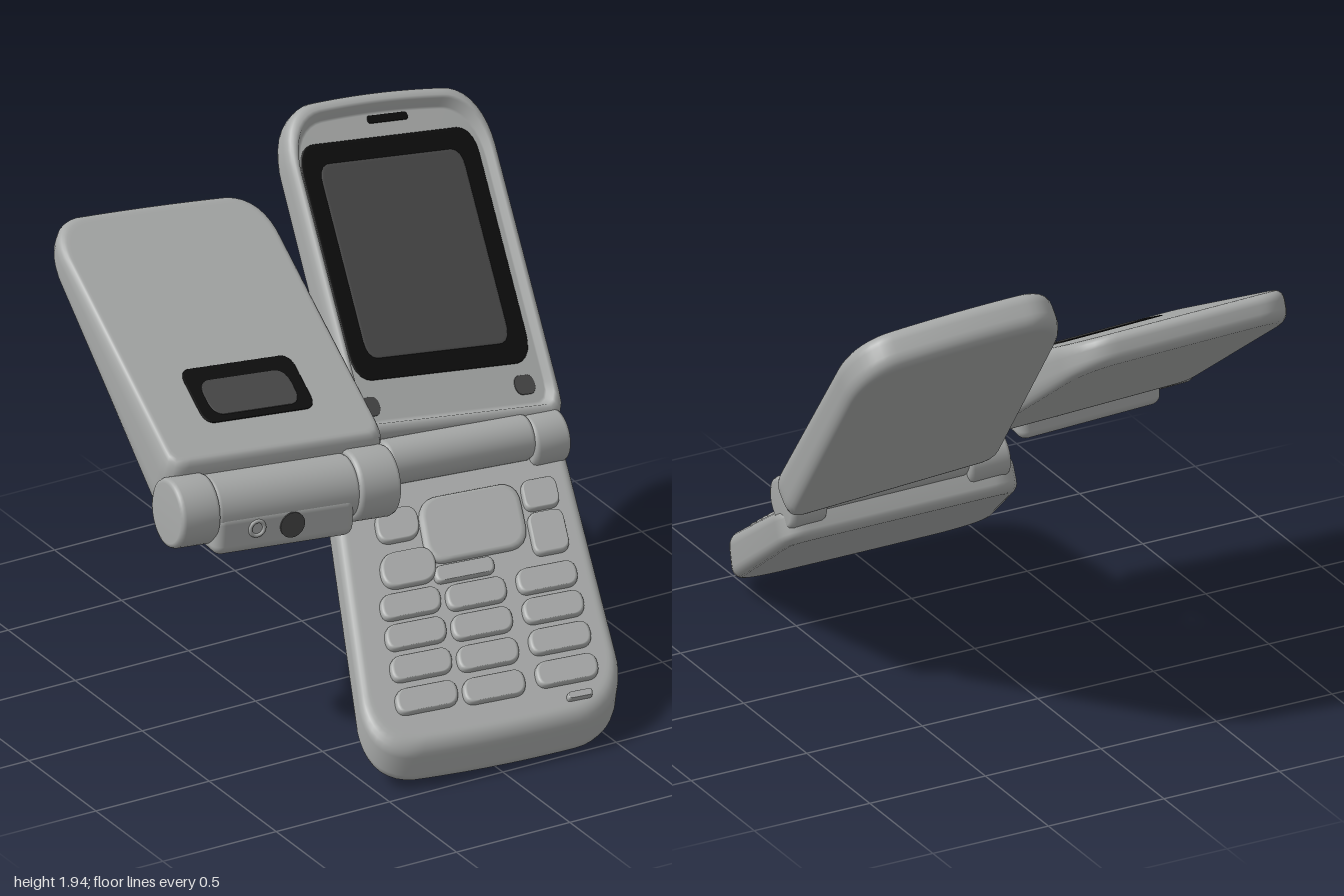
import * as THREE from 'three';
import { RoundedBoxGeometry } from 'three/addons/geometries/RoundedBoxGeometry.js';

const V = (x, y, z) => new THREE.Vector3(x, y, z);
const mat = (name, color) => Object.assign(new THREE.MeshStandardMaterial({ color }), { name });

// A panel is four face corners plus depth vectors at its far and near ends.
// (s, t) run -1..1 across the face, w runs 0..1 through the thickness.
function panel(tl, tr, br, bl, depthFar, depthNear) {
  return (s, t, w) => {
    const a = (1 - s) / 2, b = (1 + s) / 2, f = (1 + t) / 2, n = (1 - t) / 2;
    return V(0, 0, 0)
      .addScaledVector(tl, a * f).addScaledVector(tr, b * f)
      .addScaledVector(br, b * n).addScaledVector(bl, a * n)
      .addScaledVector(depthFar, w * f).addScaledVector(depthNear, w * n);
  };
}

// Rounded rectangle outline, counter-clockwise, with separate far and near radii
function outline(hw, hh, rFar, rNear, count) {
  const p = new THREE.Shape();
  p.moveTo(-hw + rNear, -hh);
  p.lineTo(hw - rNear, -hh);
  p.quadraticCurveTo(hw - rNear * 0.08, -hh + rNear * 0.08, hw, -hh + rNear);
  p.lineTo(hw, hh - rFar);
  p.quadraticCurveTo(hw - rFar * 0.08, hh - rFar * 0.08, hw - rFar, hh);
  p.lineTo(-hw + rFar, hh);
  p.quadraticCurveTo(-hw + rFar * 0.08, hh - rFar * 0.08, -hw, hh - rFar);
  p.lineTo(-hw, -hh + rNear);
  p.quadraticCurveTo(-hw + rNear * 0.08, -hh + rNear * 0.08, -hw + rNear, -hh);
  return p.getSpacedPoints(count).slice(0, count);
}

// Solid with rounded edges lying on a panel, made of stacked inset outlines;
// dish sinks the face behind a narrow rim
function slab(map, o) {
  const { s = 0, t = 0, hw = 1, hh = 1, rFar = 0.3, rNear = rFar, w0 = 0, w1 = 1,
    bevel = 0.07, bevelW = 0.3, bowFar = 0, bowNear = 0, dish = 0, count = 120, steps = 5 } = o;
  const pts = outline(hw, hh, rFar, rNear, count);
  const round = [[bevel + 0.02, 0]];
  for (let i = 0; i <= steps; i++) {
    const a = (i / steps) * Math.PI / 2;
    round.push([bevel * (1 - Math.sin(a)), bevelW * (1 - Math.cos(a))]);
  }
  const all = [[bevel + 0.06, dish], [bevel + 0.045, dish], ...round, ...round.map(([d, w]) => [d, 1 - w]).reverse()];
  const pos = [], idx = [];
  const put = (x, y, w) => pos.push(...map(s + x, t + y, w0 + (w1 - w0) * w).toArray());
  for (const [d, w] of all) {
    for (const p of pts) {
      const bow = (1 - p.x * p.x) * (p.y > 0 ? bowFar : bowNear) * p.y;
      put(p.x * (1 - d), (p.y + bow) * (1 - d), w);
    }
  }
  put(0, 0, dish);
  put(0, 0, 1);
  const top = all.length * count, last = top - count;
  for (let i = 0; i < count; i++) {
    const j = (i + 1) % count;
    for (let k = 0; k < all.length - 1; k++) {
      const u = k * count, l = u + count;
      idx.push(l + i, l + j, u + j, l + i, u + j, u + i);
    }
    idx.push(top, i, j, top + 1, last + j, last + i);
  }
  const g = new THREE.BufferGeometry();
  g.setAttribute('position', new THREE.Float32BufferAttribute(pos, 3));
  g.setIndex(idx);
  g.computeVertexNormals();
  return g;
}

function add(parent, name, geometry, material) {
  const m = new THREE.Mesh(geometry, material);
  m.name = name;
  parent.add(m);
  return m;
}

// Barrel with softened rims between two points
function barrel(parent, name, a, b, r, material) {
  const h = a.distanceTo(b), e = Math.min(0.02, h / 4);
  const profile = [[0, 0], [r - e, 0], [r - e * 0.3, e * 0.3], [r, e], [r, h - e],
    [r - e * 0.3, h - e * 0.3], [r - e, h], [0, h]].map(([x, y]) => new THREE.Vector2(x, y - h / 2));
  const m = add(parent, name, new THREE.LatheGeometry(profile, 40), material);
  m.position.copy(a).lerp(b, 0.5);
  m.quaternion.setFromUnitVectors(V(0, 1, 0), b.clone().sub(a).normalize());
}

export function createModel() {
  const root = new THREE.Group();
  root.name = 'flipPhones';
  const body = mat('body grey', 0xa6a8a7);
  const glass = mat('screen grey', 0x474747);
  const black = mat('bezel black', 0x0c0c0c);

  // Thin painted plate on a panel face
  const plate = (parent, map, name, material, s, t, hw, hh, r, lift = 0.025) =>
    add(parent, name, slab(map, { s, t, hw, hh, rFar: r, w0: -lift, w1: 0.015, bevel: 0.01, bevelW: 0.2, steps: 1 }), material);

  // ---- Open phone ----
  const open = new THREE.Group();
  open.name = 'openPhone';
  root.add(open);

  // Keypad half, running back under the hinge
  const onPlane = (x, z) => V(x, 0.785 - 0.616 * z, z);
  const base = panel(onPlane(-0.125, -0.08), onPlane(0.865, -0.03), onPlane(0.56, 1.01), onPlane(-0.565, 0.95),
    V(0, -0.13, -0.06), V(0, -0.18, -0.035));
  add(open, 'keypadBody', slab(base, { rFar: 0.16, rNear: 0.36, bowNear: 0.04, bevelW: 0.28 }), body);

  // Keys
  const pad = panel(onPlane(-0.15, 0), onPlane(0.84, 0.06), onPlane(0.54, 0.99), onPlane(-0.53, 0.93),
    V(0, -0.15, -0.09), V(0, -0.15, -0.09));
  const key = (name, s, t, hw, hh, r) =>
    add(open, name, slab(pad, { s, t, hw, hh, rFar: r, w0: -0.13, w1: 0.1, bevel: 0.1, bevelW: 0.4, count: 48, steps: 3 }), body);
  [0.48, 0.6, 0.725, 0.855].forEach((a) => {
    [-0.53, 0.01, 0.6].forEach((s, c) => key('numberKey', s, 1 - 2 * (a + (c === 1 ? 0.01 : 0)), 0.25, 0.1, 0.08));
  });
  key('navigationPad', 0.09, 0.57, 0.43, 0.26, 0.15);
  key('leftSoftKey', -0.53, 0.67, 0.18, 0.13, 0.1);
  key('callKey', -0.5, 0.32, 0.23, 0.14, 0.12);
  key('rightSoftKey', 0.69, 0.7, 0.15, 0.12, 0.07);
  key('endKey', 0.69, 0.39, 0.15, 0.17, 0.07);
  key('clearKey', -0.05, 0.22, 0.25, 0.065, 0.05);
  key('microphone', 0.66, -0.92, 0.1, 0.028, 0.02);

  // Hinge ears and bar
  barrel(open, 'hingeEar', V(-0.1, 0.825, -0.025), V(0.08, 0.817, -0.02), 0.1, body);
  barrel(open, 'hingeEar', V(0.68, 0.805, 0.005), V(0.835, 0.8, 0.01), 0.105, body);
  barrel(open, 'hingeBar', V(0.07, 0.855, -0.025), V(0.69, 0.828, 0.01), 0.09, body);

  // Screen half with a slightly sunken face
  const lid = panel(V(0.145, 1.954, -0.908), V(0.99, 1.874, -0.838), V(0.86, 0.91, 0.002), V(0.01, 0.995, -0.068),
    V(0, -0.11, -0.1), V(0, -0.11, -0.12));
  const sunk = 0.25;
  add(open, 'screenLid', slab(lid, { t: -0.02, hw: 1.03, hh: 1.04, rFar: 0.34, rNear: 0.12, bowFar: 0.04, bevel: 0.06, bevelW: 0.35, dish: sunk }), body);
  const face = (s, t, w) => lid(s, t, w + sunk);
  plate(open, face, 'screenBezel', black, -0.02, 0.05, 0.88, 0.74, 0.16);
  plate(open, face, 'screen', glass, -0.02, 0.05, 0.71, 0.61, 0.1, 0.04);
  plate(open, face, 'earpiece', black, 0.06, 0.9, 0.2, 0.024, 0.02);
  plate(open, face, 'bumper', glass, -0.81, -0.85, 0.085, 0.06, 0.06);
  plate(open, face, 'bumper', glass, 0.72, -0.825, 0.1, 0.06, 0.06);

  // ---- Closed phone ----
  const closed = new THREE.Group();
  closed.name = 'closedPhone';
  root.add(closed);

  const shell = panel(V(-0.86, 1.728, -0.94), V(0.03, 1.66, -0.86), V(-0.03, 1.1, 0.18), V(-0.94, 1.165, 0.12),
    V(0, -0.11, -0.04), V(0, -0.26, -0.1));
  add(closed, 'closedBody', slab(shell, { s: -0.01, t: -0.01, hw: 1.015, hh: 1.03, rFar: 0.3, rNear: 0.1, bowFar: 0.015, bevel: 0.06, bevelW: 0.35 }), body);
  plate(closed, shell, 'outerDisplayBezel', black, -0.01, -0.51, 0.52, 0.22, 0.09, 0.015);
  plate(closed, shell, 'outerDisplay', glass, -0.01, -0.54, 0.41, 0.14, 0.1, 0.022);

  // Hinge along one slanted axis
  const left = V(-0.985, 0.985, 0.155), right = V(-0.05, 0.92, 0.215);
  const at = (f) => left.clone().lerp(right, f);
  barrel(closed, 'hingeEar', at(0), at(0.18), 0.137, body);
  barrel(closed, 'hingeEar', at(0.81), at(1), 0.14, body);
  barrel(closed, 'hingeBarrel', at(0.17), at(0.82), 0.127, body);

  // Camera block below the barrel
  const camera = new THREE.Group();
  camera.name = 'cameraBlock';
  camera.position.copy(at(0.48));
  camera.quaternion.setFromUnitVectors(V(1, 0, 0), right.clone().sub(left).normalize());
  closed.add(camera);
  add(camera, 'cameraHousing', new RoundedBoxGeometry(0.6, 0.17, 0.26, 5, 0.04), body).position.set(0, -0.07, 0);
  add(camera, 'flashRing', new THREE.TorusGeometry(0.03, 0.008, 8, 28), body).position.set(-0.125, -0.055, 0.13);
  const lens = add(camera, 'cameraLens', new THREE.CylinderGeometry(0.052, 0.052, 0.012, 28), glass);
  lens.rotation.x = Math.PI / 2;
  lens.position.set(0.025, -0.062, 0.129);
  return root;
}
